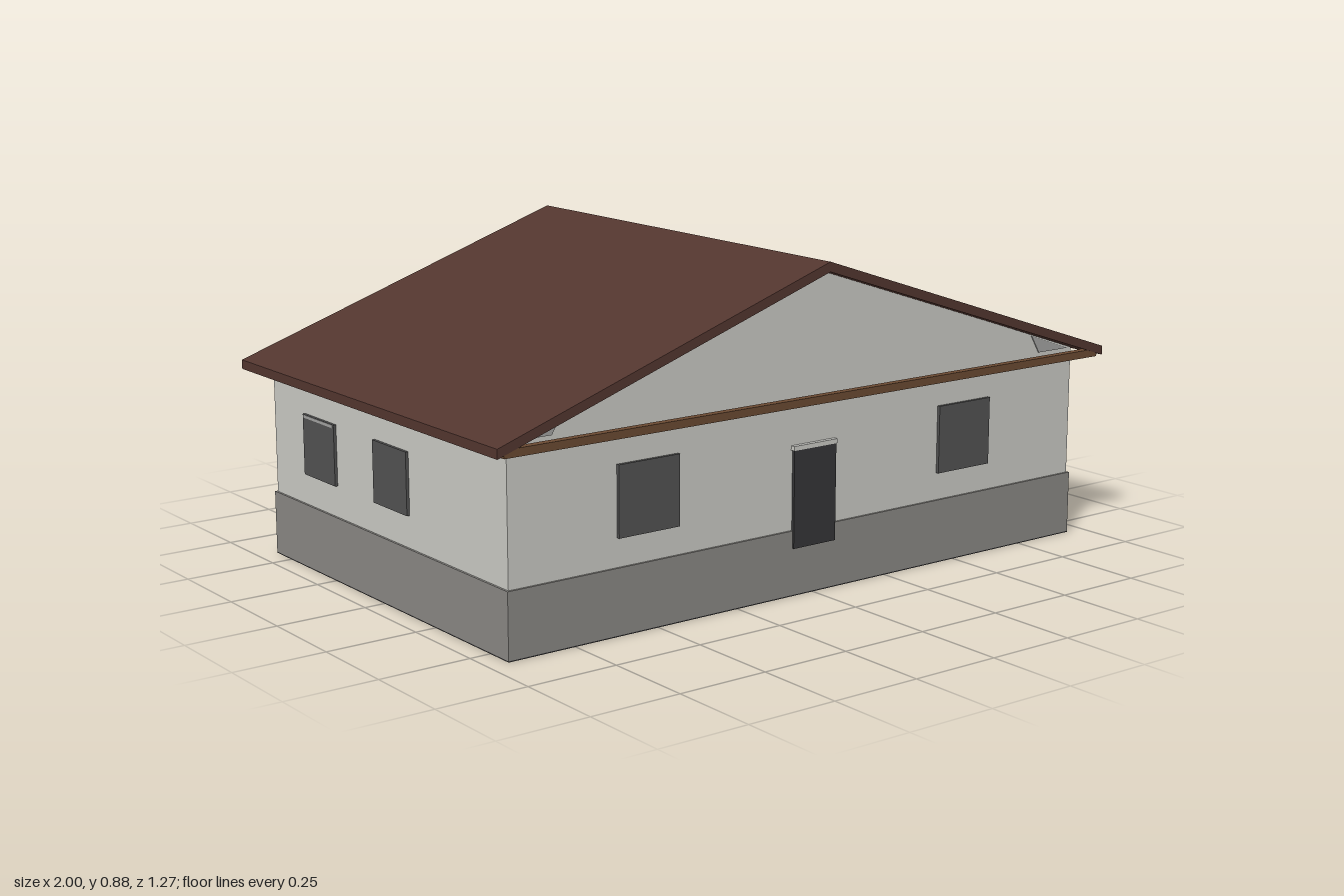
import * as THREE from 'three';

const material = (name, color) => {
  const m = new THREE.MeshStandardMaterial({ color });
  m.name = name;
  return m;
};

export function createModel() {
  const house = new THREE.Group();
  house.name = 'house';

  const wallMat = material('pale wall', 0xcacac5);
  const plinthMat = material('grey plinth', 0x8a8884);
  const roofMat = material('brown roof', 0x53362f);
  const beamMat = material('wood beam', 0x6b4a32);
  const glassMat = material('dark glass', 0x525252);
  const doorMat = material('charcoal', 0x353537);
  const recessMat = material('gable grey', 0xa3a3a1);

  const add = (name, geometry, mat, x = 0, y = 0, z = 0) => {
    const mesh = new THREE.Mesh(geometry, mat);
    mesh.name = name;
    mesh.position.set(x, y, z);
    house.add(mesh);
    return mesh;
  };
  const box = (name, mat, w, h, d, x, y, z) =>
    add(name, new THREE.BoxGeometry(w, h, d), mat, x, y, z);
  // Front outline extruded along z, centred on the given z
  const prism = (name, mat, points, depth, z = 0) => {
    const shape = new THREE.Shape(points.map(([x, y]) => new THREE.Vector2(x, y)));
    const geometry = new THREE.ExtrudeGeometry(shape, { depth, bevelEnabled: false });
    return add(name, geometry, mat, 0, 0, z - depth / 2);
  };

  // Plinth, dark underside and walls with both gables
  box('plinth', plinthMat, 1.886, 0.172, 1.162, 0, 0.089, 0);
  box('underside', doorMat, 1.886, 0.003, 1.162, 0, 0.0015, 0);
  prism('walls', wallMat,
    [[-0.937, 0.17], [0.937, 0.17], [0.937, 0.535], [0, 0.852], [-0.937, 0.535]], 1.15);

  // Pitched roof with a thin vertical eave edge
  prism('roof', roofMat,
    [[-1, 0.515], [0, 0.85], [1, 0.515], [1, 0.54], [0, 0.876], [-1, 0.54]], 1.27);

  // Tie beam across the front gable
  box('tieBeam', beamMat, 1.96, 0.021, 0.022, 0, 0.5235, 0.622);

  for (const s of [-1, 1]) {
    // Small shaded corner of the front gable
    prism('gableCorner', recessMat,
      s > 0 ? [[0.81, 0.535], [0.92, 0.535], [0.78, 0.585]]
        : [[-0.81, 0.535], [-0.78, 0.585], [-0.92, 0.535]], 0.004, 0.576);
    // Front windows
    box('frontWindow', glassMat, 0.185, 0.185, 0.009, s * 0.528, 0.3425, 0.5795);
    // Two windows on each side wall
    for (const z of [0.045, -0.32]) {
      box('sideWindow', glassMat, 0.008, 0.165, 0.165, s * 0.941, 0.3425, z);
    }
    // Light lintel on the rear side window
    box('windowLintel', recessMat, 0.009, 0.008, 0.155, s * 0.942, 0.42, -0.32);
  }

  // Front door with its lintel
  box('door', doorMat, 0.14, 0.26, 0.009, 0, 0.258, 0.5815);
  box('doorLintel', wallMat, 0.145, 0.012, 0.012, 0, 0.394, 0.581);

  return house;
}
